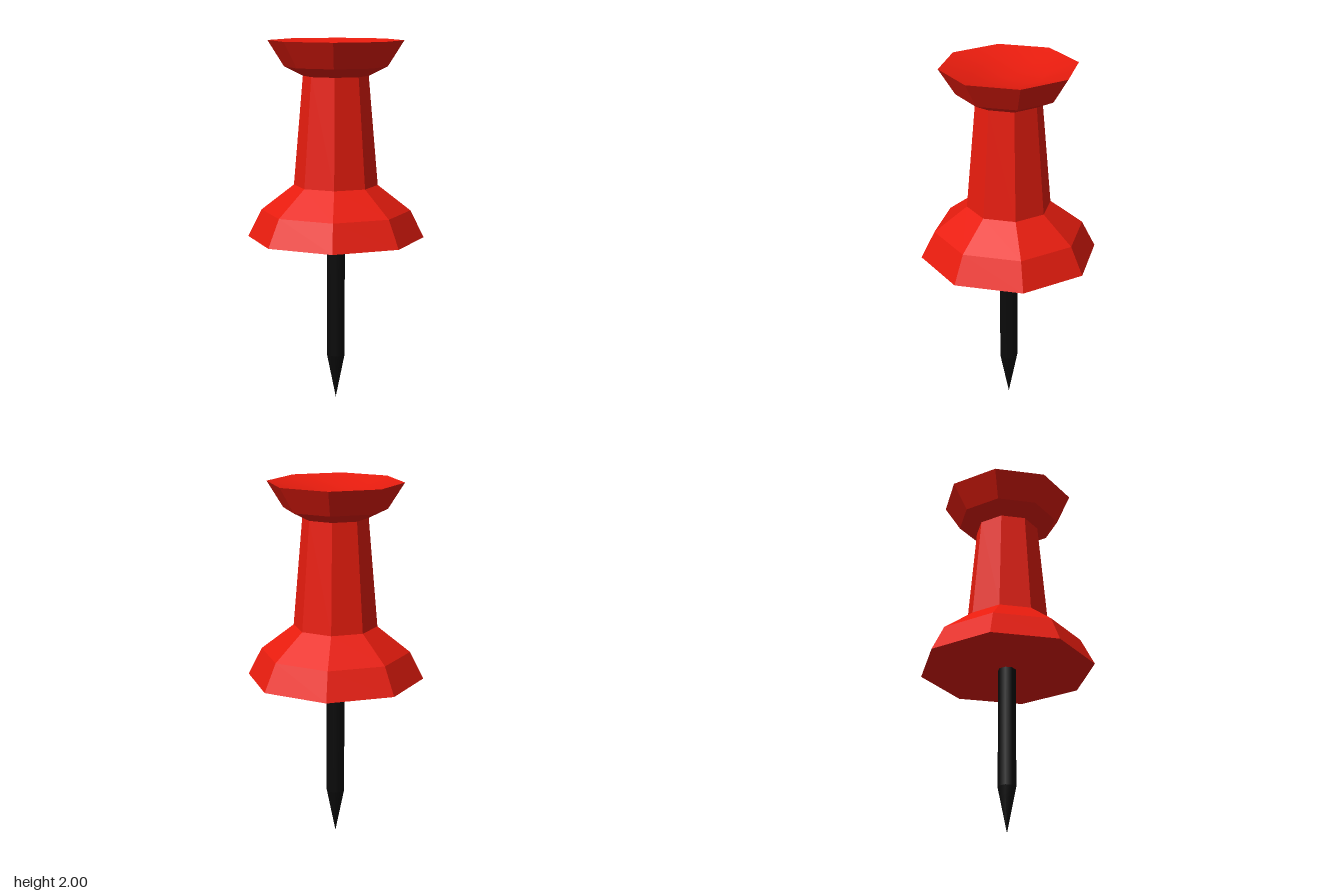
import * as THREE from 'three';
import { mergeVertices } from 'three/addons/utils/BufferGeometryUtils.js';

const lathe = (points, sides) =>
  new THREE.LatheGeometry(points.map(([r, y]) => new THREE.Vector2(r, y)), sides);

// Weld a lathe so its normals run smoothly over seam and centre
function smooth(geometry) {
  geometry.deleteAttribute('normal');
  geometry.deleteAttribute('uv');
  const welded = mergeVertices(geometry, 1e-4);
  welded.computeVertexNormals();
  return welded;
}

export function createModel() {
  const group = new THREE.Group();
  const red = 0xe81c0e;
  const add = (name, geometry, color, flatShading) => {
    const mesh = new THREE.Mesh(geometry, new THREE.MeshStandardMaterial({ color, flatShading }));
    mesh.name = name;
    group.add(mesh);
  };

  // Eight-sided handle: flared base, tapering grip, flared head
  add('handle', lathe([
    [0, 0.925], [0.485, 0.925], [0.41, 1.075], [0.23, 1.215],
    [0.178, 1.81], [0.28, 1.86], [0.368, 2],
  ], 8), red, true);

  // Shallow thumb dish in the top of the head
  add('thumbDish', smooth(lathe([[0.368, 2], [0.2, 1.955], [0, 1.935]], 8)), red, false);

  // Needle shaft and its tapered point
  add('needleShaft', lathe([[0.05, 0.25], [0.05, 0.93]], 8), 0x0b0b0b, false);
  add('needlePoint', lathe([[0, 0], [0.05, 0.25]], 8), 0x0b0b0b, false);

  return group;
}
